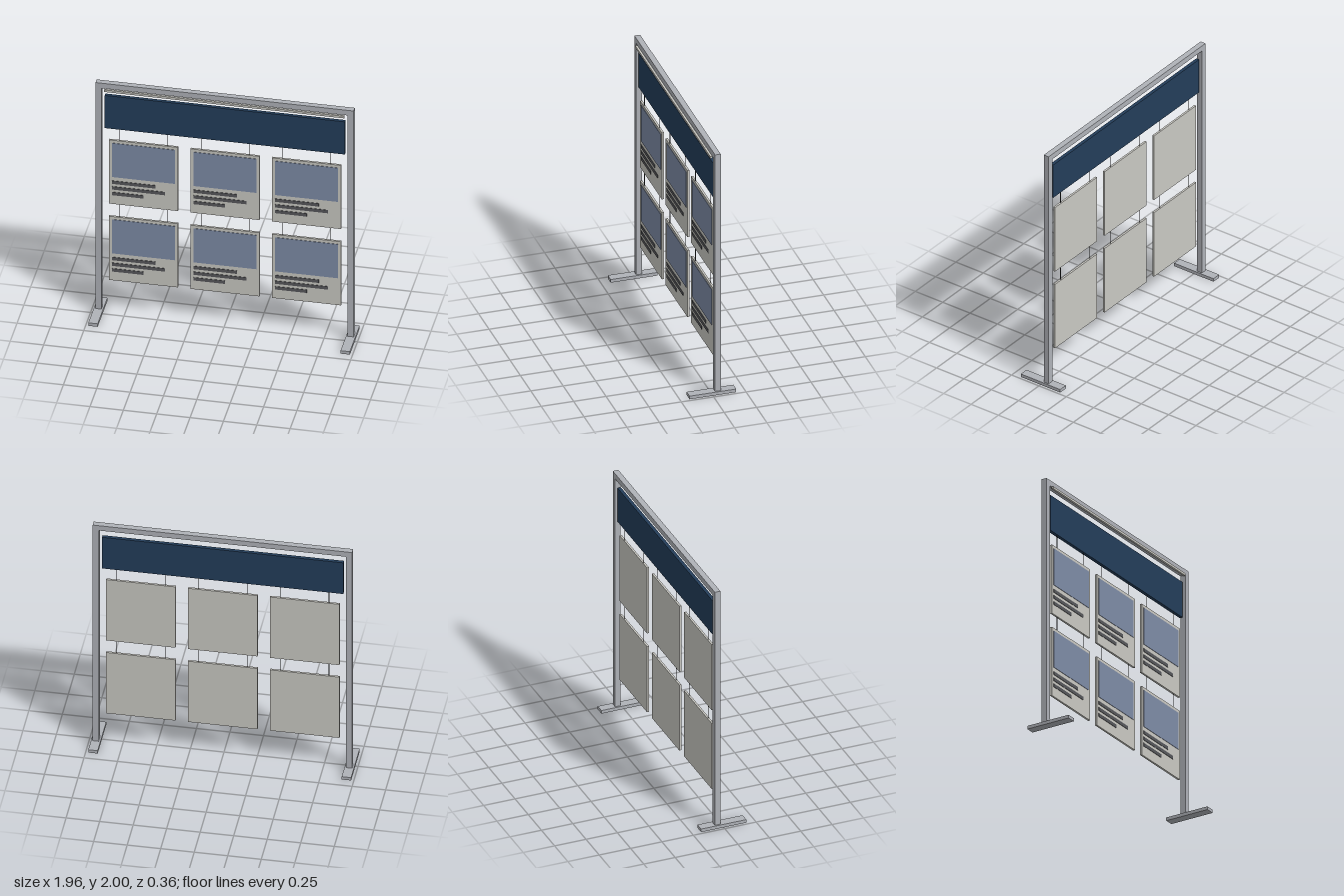
import * as THREE from 'three';

const mat = (name, color) => {
  const m = new THREE.MeshStandardMaterial({ color });
  m.name = name;
  return m;
};

export function createModel() {
  const metal = mat('grey metal', 0xafb2b8);
  const railPaint = mat('pale rail', 0xc9c8c2);
  const navy = mat('navy', 0x233d5a);
  const card = mat('warm grey card', 0xc9c8c2);
  const picture = mat('muted blue', 0x7d8ba6);
  const ink = mat('dark ink', 0x56575b);
  const wire = mat('wire', 0x3c3d40);

  const root = new THREE.Group();
  root.name = 'displayStand';
  const Z = -0.043; // plane of the frame

  const box = (parent, name, material, w, h, d, x, y, z) => {
    const m = new THREE.Mesh(new THREE.BoxGeometry(w, h, d), material);
    m.name = name;
    m.position.set(x, y, z);
    parent.add(m);
    return m;
  };

  // Frame: feet, posts, top beam and the thin rail in front
  for (const [side, s] of [['left', 1], ['right', -1]]) {
    box(root, side + 'Foot', metal, 0.07, 0.026, 0.36, s * 0.945, 0.013, 0);
    box(root, side + 'Post', metal, 0.045, 1.93, 0.044, s * 0.945, 0.991, Z);
  }
  box(root, 'topBeam', metal, 1.935, 0.044, 0.044, 0, 1.978, Z);
  box(root, 'hangingRail', railPaint, 1.8, 0.018, 0.016, 0, 1.946, -0.013);

  // Header board
  box(root, 'headerBoard', navy, 1.8, 0.285, 0.026, 0, 1.748, Z);

  // One hanging card with its picture and text bars, origin at top centre
  const W = 0.518, H = 0.556, T = 0.016;
  const makePanel = (x, top, gap) => {
    const g = new THREE.Group();
    g.name = 'infoPanel';
    g.position.set(x, top, Z);
    box(g, 'card', card, W, H, T, 0, -H / 2, 0);
    const front = T / 2 + 0.001;
    box(g, 'picturePlate', picture, 0.472, 0.296, 0.004, 0, -0.172, front);
    [0.328, 0.397, 0.238].forEach((len, i) =>
      box(g, 'textBar', ink, len, 0.027, 0.004, -0.236 + len / 2, -0.366 - i * 0.0495, front));
    // Wires reaching up to the part above
    for (const s of [-1, 1]) {
      const w = new THREE.Mesh(new THREE.CylinderGeometry(0.0025, 0.0025, gap, 8), wire);
      w.name = 'wire';
      w.position.set(s * 0.18, gap / 2, 0);
      g.add(w);
    }
    root.add(g);
  };
  for (const x of [-0.611, 0, 0.611]) {
    makePanel(x, 1.503, 0.103);
    makePanel(x, 0.836, 0.111);
  }
  return root;
}
